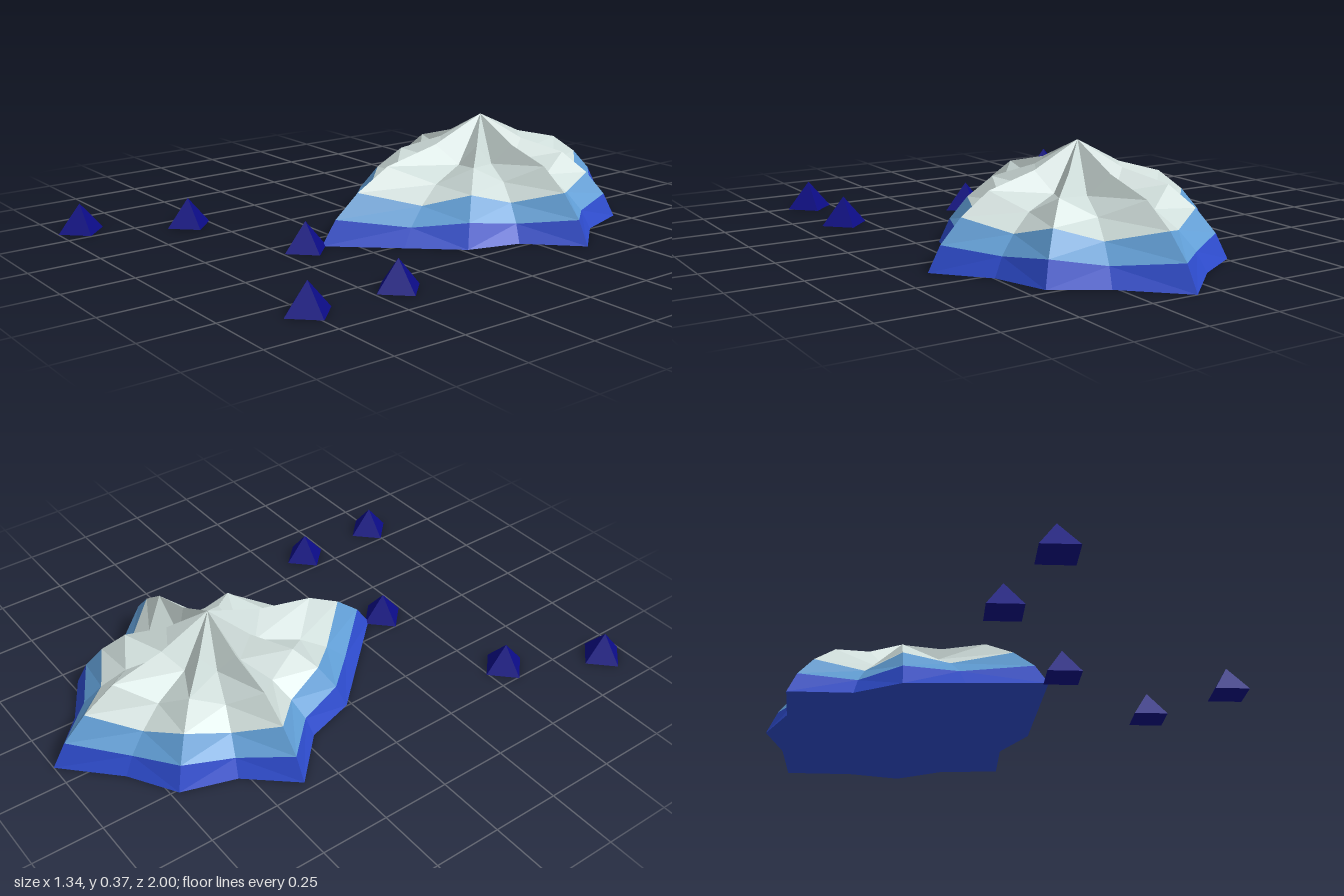
import * as THREE from 'three';

const flat = (name, color) => Object.assign(new THREE.MeshStandardMaterial({ color, flatShading: true }), { name });

// Rim offsets from the peak (x, z), back to front; even = ridge, odd = valley
const HALF_RIM = [
  [0, -0.633], [0.18, -0.458], [0.348, -0.356], [0.41, -0.165], [0.555, 0],
  [0.39, 0.162], [0.335, 0.347], [0.19, 0.505], [0, 0.713],
];
// Each ring: fraction of the rim radius, ridge height
const RINGS = [[0.3, 0.286], [0.605, 0.237], [0.787, 0.163], [0.92, 0.083], [1, 0]];
const VALLEY = 0.745;
const PEAK = [0.087, 0.373, -0.367];

export function createModel() {
  const model = new THREE.Group();
  model.name = 'domeAndCones';
  const stone = flat('paleGrey', 0xcddbd8);
  const sky = flat('lightBlue', 0x609dd4);
  const royal = flat('royalBlue', 0x2d4bcc);
  const navy = flat('navy', 0x0b0b84);

  // Mirror the half rim into a full loop
  const rim = [...HALF_RIM, ...HALF_RIM.slice(1, -1).reverse().map(([x, z]) => [-x, z])];
  const n = rim.length;
  const rings = RINGS.map(([f, h]) => rim.map(([x, z], i) =>
    [PEAK[0] + x * f, h * (i % 2 ? VALLEY : 1), PEAK[2] + z * f]));

  const addMesh = (name, triangles, material) => {
    const geo = new THREE.BufferGeometry();
    geo.setAttribute('position', new THREE.Float32BufferAttribute(triangles.flat(2), 3));
    geo.computeVertexNormals();
    const mesh = new THREE.Mesh(geo, material);
    mesh.name = name;
    model.add(mesh);
  };

  // Facets between two neighbouring rings, split symmetrically about each ridge
  const band = (up, low) => rim.flatMap((_, i) => {
    const j = (i + 1) % n;
    return i % 2
      ? [[low[j], low[i], up[i]], [low[j], up[i], up[j]]]
      : [[low[j], low[i], up[j]], [low[i], up[i], up[j]]];
  });

  // Pleated dome in three colour bands
  const cap = rim.map((_, i) => [PEAK, rings[0][(i + 1) % n], rings[0][i]]);
  addMesh('domeTop', [...cap, ...band(rings[0], rings[1]), ...band(rings[1], rings[2])], stone);
  addMesh('domeMiddleBand', band(rings[2], rings[3]), sky);
  addMesh('domeLowerBand', band(rings[3], rings[4]), royal);

  // Flat underside
  const centre = [PEAK[0], 0, PEAK[2]];
  addMesh('domeBase', rim.map((_, i) => [centre, rings[4][i], rings[4][(i + 1) % n]]), royal);

  // Small four-sided cones scattered in front
  const coneGeo = new THREE.ConeGeometry(0.084, 0.1, 4);
  for (const [x, z] of [[0.083, 0.41], [0.587, 0.41], [0.587, 0.745], [-0.42, 0.577], [-0.589, 0.915]]) {
    const cone = new THREE.Mesh(coneGeo, navy);
    cone.name = 'smallCone';
    cone.position.set(x, 0.05, z);
    model.add(cone);
  }
  return model;
}
